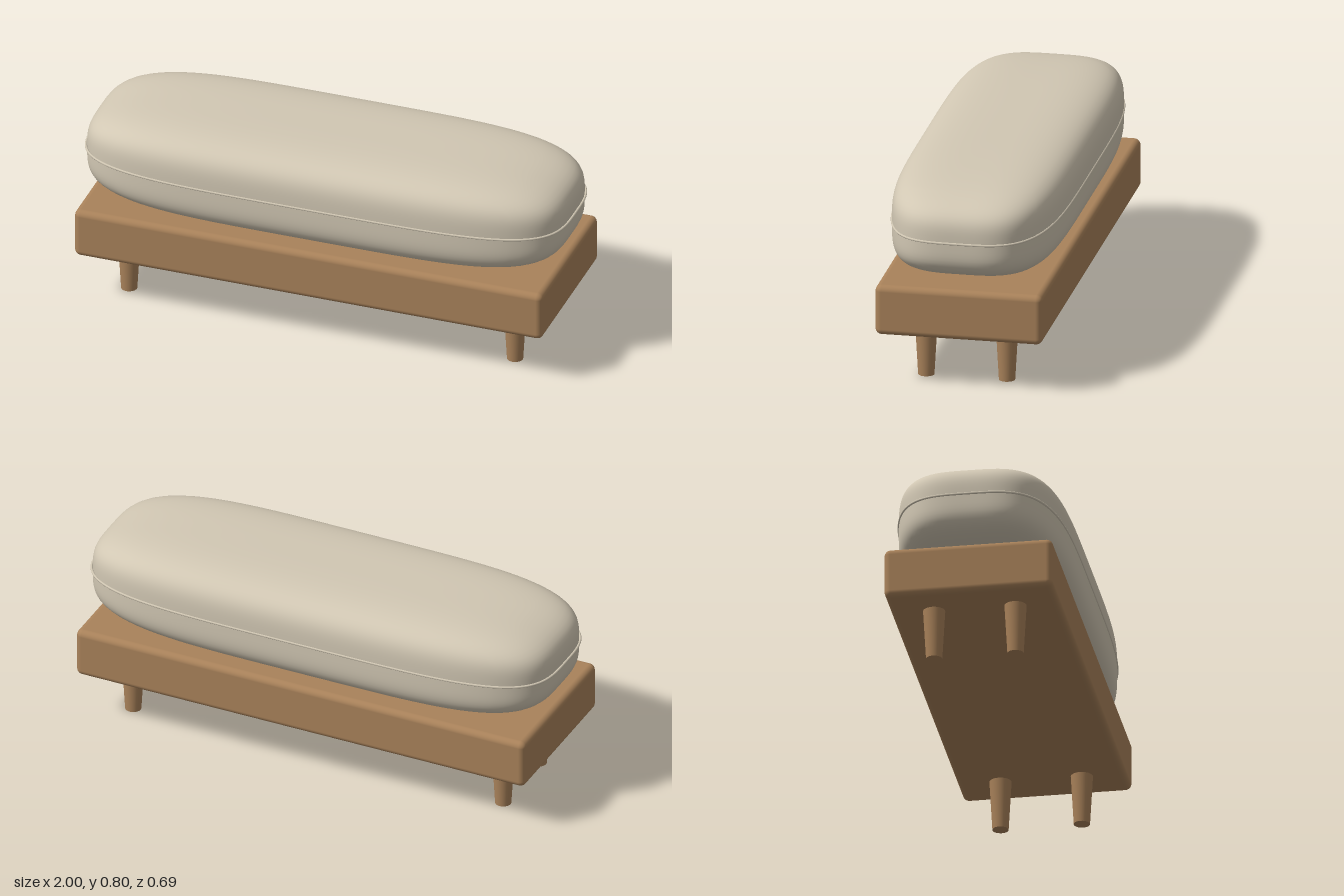
import * as THREE from 'three';
import { mergeVertices } from 'three/addons/utils/BufferGeometryUtils.js';
import { RoundedBoxGeometry } from 'three/addons/geometries/RoundedBoxGeometry.js';

const CUSHION = { x: 0.99, y: 0.195, z: 0.34, centerY: 0.605 };
const POWER = { x: 4.4, y: 4, z: 3.6 };
const SEAM_Y = 0.612;

// Pillow: a subdivided cube whose vertices are pulled onto a superellipsoid.
function cushionGeometry() {
  const box = new THREE.BoxGeometry(2, 2, 2, 40, 24, 28);
  box.deleteAttribute('normal');
  box.deleteAttribute('uv');
  const geometry = mergeVertices(box);
  const pos = geometry.attributes.position;
  const p = new THREE.Vector3();
  for (let i = 0; i < pos.count; i++) {
    p.fromBufferAttribute(pos, i);
    let low = 0, high = 1;
    for (let k = 0; k < 30; k++) {
      const t = (low + high) / 2;
      const sum = ['x', 'y', 'z'].reduce((s, a) => s + Math.abs(p[a] * t) ** POWER[a], 0);
      if (sum > 1) high = t; else low = t;
    }
    p.multiplyScalar(low);
    pos.setXYZ(i, p.x * CUSHION.x, p.y * CUSHION.y, p.z * CUSHION.z);
  }
  geometry.computeVertexNormals();
  return geometry;
}

// Thin piping that follows the cushion's widest outline.
function pipingGeometry() {
  const points = [];
  const count = 96;
  for (let i = 0; i < count; i++) {
    const a = (i / count) * Math.PI * 2;
    const c = Math.cos(a), s = Math.sin(a);
    points.push(new THREE.Vector3(
      Math.sign(c) * Math.abs(c) ** (2 / POWER.x) * (CUSHION.x + 0.005), 0,
      Math.sign(s) * Math.abs(s) ** (2 / POWER.z) * (CUSHION.z - 0.001)));
  }
  const curve = new THREE.CatmullRomCurve3(points, true, 'centripetal');
  return new THREE.TubeGeometry(curve, 200, 0.005, 8, true);
}

export function createModel() {
  const wood = new THREE.MeshStandardMaterial({ color: 0xa9825a });
  wood.name = 'warm wood';
  const fabric = new THREE.MeshStandardMaterial({ color: 0xd1c7b3 });
  fabric.name = 'beige fabric';

  const model = new THREE.Group();
  model.name = 'bench';
  const add = (name, geometry, material, x, y, z) => {
    const mesh = new THREE.Mesh(geometry, material);
    mesh.name = name;
    mesh.position.set(x, y, z);
    model.add(mesh);
  };

  // Wooden base
  add('base', new RoundedBoxGeometry(1.94, 0.204, 0.666, 5, 0.025), wood, 0, 0.307, 0);

  // Four tapered legs
  const leg = new THREE.CylinderGeometry(0.044, 0.032, 0.21, 24);
  for (const [side, x] of [['Left', 0.8], ['Right', -0.8]]) {
    add(`front${side}Leg`, leg, wood, x, 0.105, 0.161);
    add(`back${side}Leg`, leg, wood, x, 0.105, -0.161);
  }

  // Cushion and its seam
  add('cushion', cushionGeometry(), fabric, 0, CUSHION.centerY, 0);
  add('cushionPiping', pipingGeometry(), fabric, 0, SEAM_Y, 0);

  return model;
}
